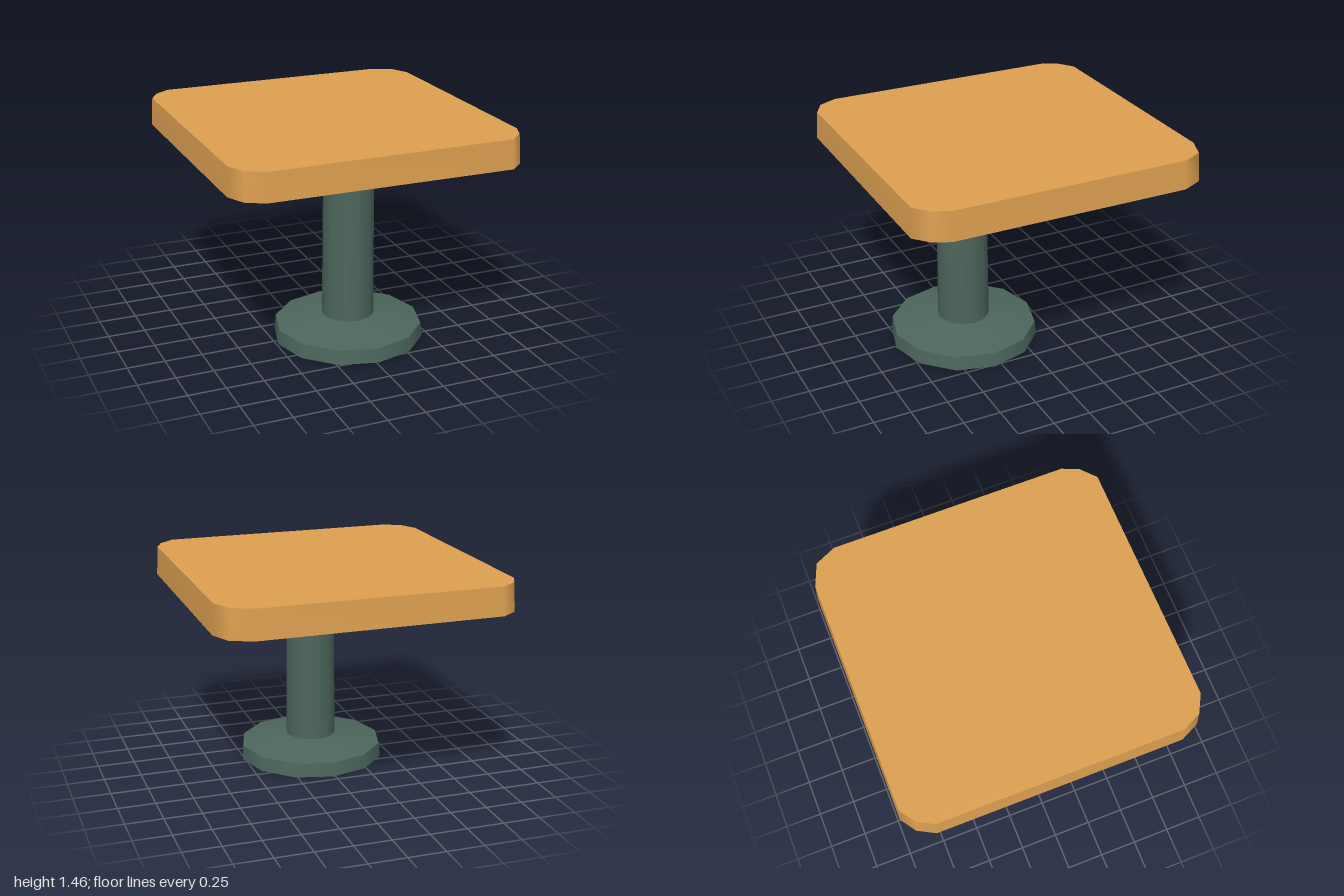
import * as THREE from 'three';

const wood = new THREE.MeshStandardMaterial({ color: 0xdc9f50, side: THREE.DoubleSide });
wood.name = 'warm wood';
const metal = new THREE.MeshStandardMaterial({ color: 0x4c665c, side: THREE.DoubleSide });
metal.name = 'dark green metal';

// Hand-cut table outline as [x, z], running from the back left corner to the right
const outline = [
  [-0.98, -0.82], [-0.92, -0.93], [-0.82, -1.0],
  [0.76, -1.0], [0.91, -0.94], [0.975, -0.8],
  [0.975, 0.79], [0.93, 0.9], [0.83, 0.99],
  [-0.8, 1.0], [-0.92, 0.935], [-0.98, 0.81],
];
const TOP = 1.457, BOTTOM = 1.267, TAPER = 0.99;

function part(name, geometry, material) {
  const mesh = new THREE.Mesh(geometry, material);
  mesh.name = name;
  return mesh;
}

// Skirt: a thin wall following the outline, slightly wider at the bottom
function skirtGeometry() {
  const positions = [], index = [], n = outline.length;
  outline.forEach(([x, z], i) => {
    positions.push(x * TAPER, TOP, z * TAPER, x, BOTTOM - x * 0.004, z);
    const a = 2 * i, b = 2 * ((i + 1) % n);
    index.push(a, b, a + 1, b, b + 1, a + 1);
  });
  const geometry = new THREE.BufferGeometry();
  geometry.setAttribute('position', new THREE.Float32BufferAttribute(positions, 3));
  geometry.setIndex(index);
  geometry.computeVertexNormals();
  return geometry;
}

// Flat top sheet; the table is open underneath
function topGeometry() {
  const points = outline.map(([x, z]) => new THREE.Vector2(x * TAPER, -z * TAPER));
  return new THREE.ShapeGeometry(new THREE.Shape(points)).rotateX(-Math.PI / 2).translate(0, TOP, 0);
}

// Open twelve-sided tube section between two heights
function section(name, rTop, rBottom, y0, y1) {
  const geometry = new THREE.CylinderGeometry(rTop, rBottom, y1 - y0, 12, 1, true);
  return part(name, geometry.translate(0, (y0 + y1) / 2, 0), metal);
}

export function createModel() {
  const model = new THREE.Group();
  model.name = 'pedestalTable';

  const tabletop = new THREE.Group();
  tabletop.name = 'tabletop';
  tabletop.add(part('topSheet', topGeometry(), wood), part('skirt', skirtGeometry(), wood));

  // Hollow pedestal, set toward the front
  const pedestal = new THREE.Group();
  pedestal.name = 'pedestal';
  pedestal.add(
    section('footRim', 0.492, 0.502, 0, 0.097),
    section('footSlope', 0.175, 0.492, 0.097, 0.155),
    section('column', 0.165, 0.175, 0.155, 1.25),
  );
  pedestal.position.set(0.014, 0, 0.3);

  model.add(tabletop, pedestal);
  return model;
}
